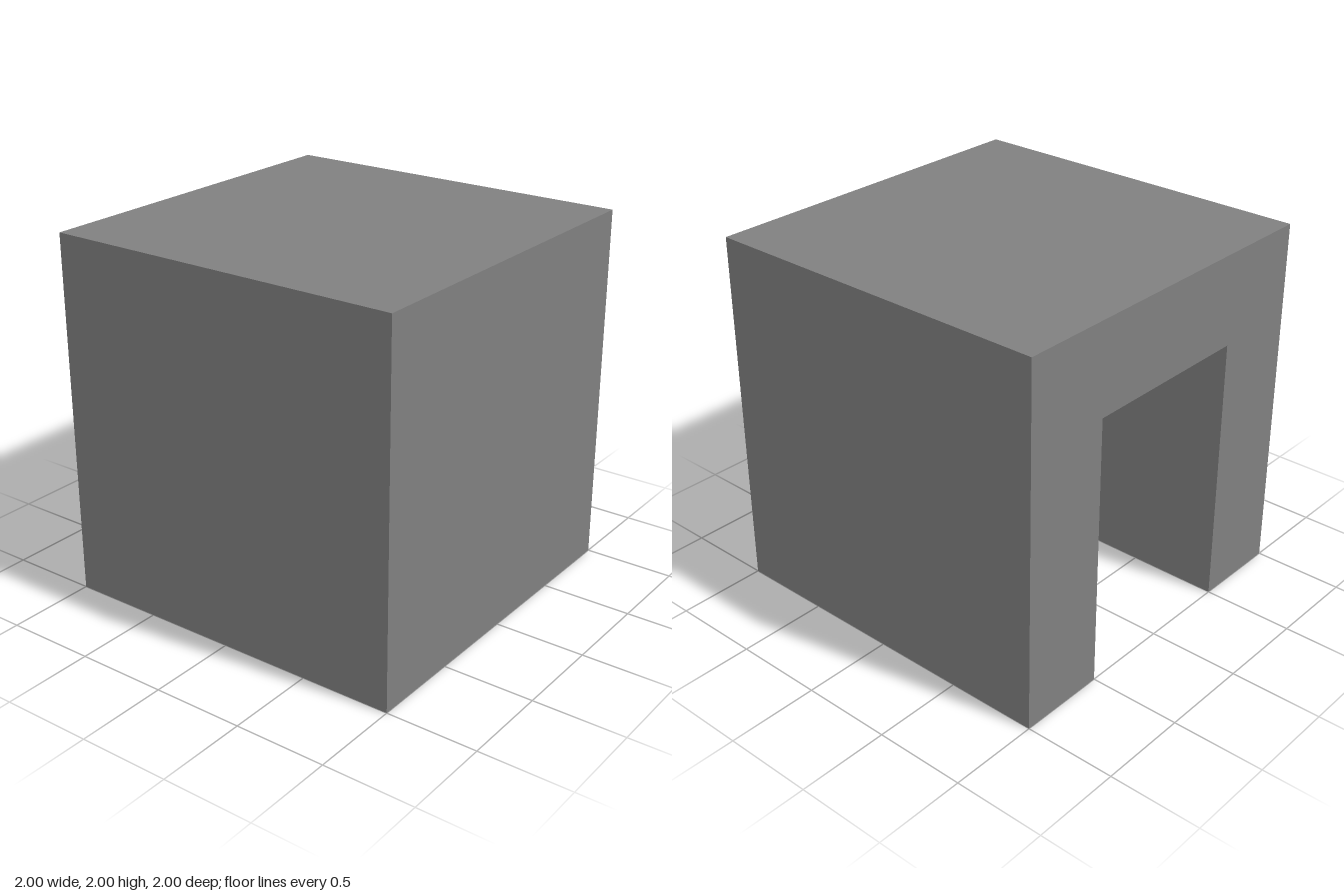
import * as THREE from 'three';
import { mergeGeometries } from 'three/addons/utils/BufferGeometryUtils.js';

const HALF_TURN = Math.PI;
const QUARTER = Math.PI / 2;

// A flat rectangle turned to face a direction, then moved into place
function panel(w, h, rx, ry, x, y, z) {
  return new THREE.PlaneGeometry(w, h).rotateX(rx).rotateY(ry).translate(x, y, z);
}

// Square with a notch open at its lower edge; shared by the back and underside
function notchedSquare() {
  const points = [[-1, 0], [-0.5, 0], [-0.5, 1.5], [0.5, 1.5], [0.5, 0], [1, 0], [1, 2], [-1, 2]];
  return new THREE.ShapeGeometry(new THREE.Shape(points.map(([x, y]) => new THREE.Vector2(x, y))));
}

export function createModel() {
  const group = new THREE.Group();
  group.name = 'hollowBlock';
  const grey = new THREE.MeshStandardMaterial({ color: 0x808080 });
  grey.name = 'grey';

  // Outside of the cube, with the notch cut into its back and underside
  const outer = mergeGeometries([
    panel(2, 2, 0, 0, 0, 1, 1),
    panel(2, 2, 0, QUARTER, 1, 1, 0),
    panel(2, 2, 0, -QUARTER, -1, 1, 0),
    panel(2, 2, -QUARTER, 0, 0, 2, 0),
    notchedSquare().rotateY(HALF_TURN).translate(0, 0, -1),
    notchedSquare().rotateX(QUARTER).translate(0, 0, -1),
  ]);

  // Inside of the recess: two walls, ceiling and end wall
  const inner = mergeGeometries([
    panel(1.5, 1.5, 0, -QUARTER, 0.5, 0.75, -0.25),
    panel(1.5, 1.5, 0, QUARTER, -0.5, 0.75, -0.25),
    panel(1, 1.5, QUARTER, 0, 0, 1.5, -0.25),
    panel(1, 1.5, 0, HALF_TURN, 0, 0.75, 0.5),
  ]);

  for (const [name, geometry] of [['outerShell', outer], ['recess', inner]]) {
    const mesh = new THREE.Mesh(geometry, grey);
    mesh.name = name;
    group.add(mesh);
  }
  return group;
}
